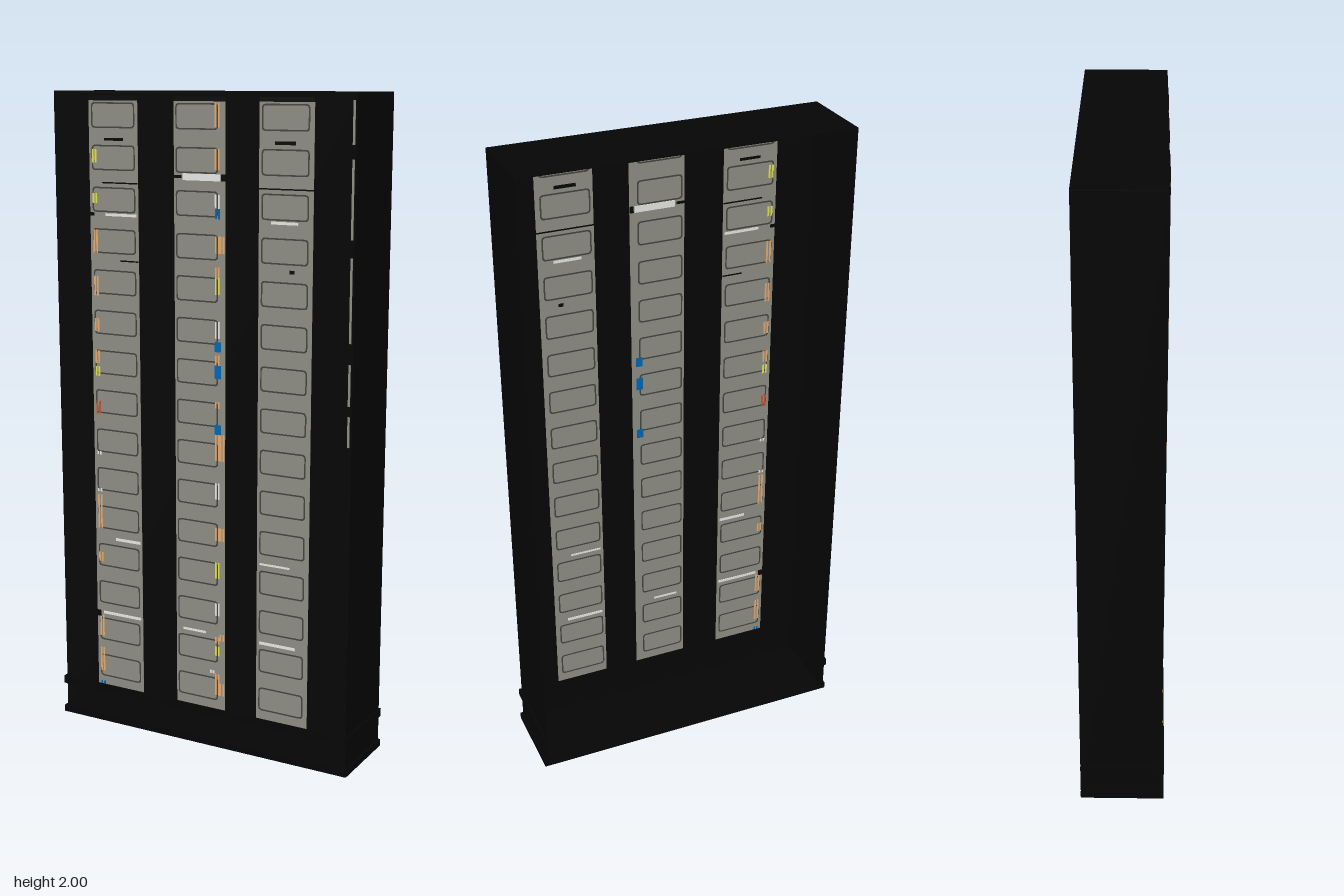
import * as THREE from 'three';

const mat = (name, color) => new THREE.MeshStandardMaterial({ name, color });

export function createModel() {
  const black = mat('cabinetBlack', 0x050505);
  const grey = mat('panelGrey', 0x8e8e85);
  const line = mat('seamGrey', 0x45453f);
  const white = mat('labelWhite', 0xf0f0ec);
  const orange = mat('cableOrange', 0xf2b272);
  const yellow = mat('cableYellow', 0xe4e44a);
  const blue = mat('cableBlue', 0x0068b4);
  const red = mat('cableRed', 0xc85430);

  const model = new THREE.Group();
  model.name = 'equipmentCabinet';
  const BACK = -0.128, FRONT = 0.122, MID = (BACK + FRONT) / 2, T = 0.004;

  const box = (name, m, w, h, d, x, y, z, parent = model) => {
    const mesh = new THREE.Mesh(new THREE.BoxGeometry(w, h, d), m);
    mesh.name = name;
    mesh.position.set(x, y, z);
    parent.add(mesh);
  };

  // Thin shell, open at the back
  box('frontSheet', black, 1, 2, T, 0, 1, FRONT - T / 2);
  box('top', black, 1, T, FRONT - BACK, 0, 2 - T / 2, MID);
  box('floor', black, 1, T, FRONT - BACK, 0, T / 2, MID);
  for (const s of [-1, 1]) {
    box(s > 0 ? 'leftWall' : 'rightWall', black, T, 2, FRONT - BACK, s * (0.5 - T / 2), 1, MID);
  }

  // Plinth trims wrap the front and both sides
  for (const [y, h] of [[0.011, 0.022], [0.112, 0.025]]) {
    box('frontTrim', black, 1.014, h, 0.008, 0, y, 0.126);
    for (const s of [-1, 1]) box('sideTrim', black, 0.008, h, 0.256, s * 0.503, y, 0);
  }

  // Plates pass through the front sheet so both faces show them
  const Z = FRONT - T / 2;
  const plate = (name, m, x0, x1, y0, y1, depth, parent, z = Z) =>
    box(name, m, x1 - x0, y1 - y0, depth, (x0 + x1) / 2, (y0 + y1) / 2, z, parent);

  const roundedPath = (path, w, h, r) => {
    path.moveTo(-w / 2 + r, -h / 2);
    path.lineTo(w / 2 - r, -h / 2);
    path.quadraticCurveTo(w / 2, -h / 2, w / 2, -h / 2 + r);
    path.lineTo(w / 2, h / 2 - r);
    path.quadraticCurveTo(w / 2, h / 2, w / 2 - r, h / 2);
    path.lineTo(-w / 2 + r, h / 2);
    path.quadraticCurveTo(-w / 2, h / 2, -w / 2, h / 2 - r);
    path.lineTo(-w / 2, -h / 2 + r);
    path.quadraticCurveTo(-w / 2, -h / 2, -w / 2 + r, -h / 2);
    return path;
  };

  // Three columns of fifteen rounded module outlines
  const columns = [
    { x0: -0.375, x1: -0.204, r0: -0.366, r1: -0.214 },
    { x0: -0.08, x1: 0.091, r0: -0.074, r1: 0.067 },
    { x0: 0.2, x1: 0.372, r0: 0.208, r1: 0.358 },
  ];
  for (const c of columns) {
    const group = new THREE.Group();
    group.name = 'moduleColumn';
    model.add(group);
    plate('columnPanel', grey, c.x0, c.x1, 0.124, 1.985, 0.0065, group);
    const w = c.r1 - c.r0, h = 0.075, t = 0.0045;
    const shape = roundedPath(new THREE.Shape(), w, h, 0.012);
    shape.holes.push(roundedPath(new THREE.Path(), w - 2 * t, h - 2 * t, 0.009));
    const geo = new THREE.ExtrudeGeometry(shape, { depth: 0.0075, bevelEnabled: false, curveSegments: 4 });
    geo.translate(0, 0, -0.00375);
    for (let i = 0; i < 15; i++) {
      const outline = new THREE.Mesh(geo, line);
      outline.name = 'moduleOutline';
      outline.position.set((c.r0 + c.r1) / 2, 0.19 + i * 0.1243, Z);
      group.add(outline);
    }
    plate('topSeam', black, c.x0, c.x1, 1.973, 1.986, 0.008, group);
  }

  // Bundles of thin upright cables: [bottom, top] ranges
  const bundles = (name, m, x, ranges, z = Z, depth = 0.0085) => {
    for (const [y0, y1] of ranges) {
      for (const dx of [-0.006, 0.004]) plate(name, m, x + dx - 0.003, x + dx + 0.003, y0, y1, depth, model, z);
    }
  };
  const XA = -0.356;
  bundles('orangeCables', orange, XA, [[1.52, 1.59], [1.39, 1.45], [1.28, 1.32], [1.18, 1.22],
    [0.65, 0.76], [0.54, 0.57], [0.29, 0.36], [0.17, 0.25]]);
  bundles('yellowCables', yellow, XA, [[1.79, 1.83], [1.67, 1.7], [1.14, 1.17]]);
  bundles('redCables', red, XA, [[1.02, 1.06]]);
  bundles('whiteCables', white, XA, [[0.89, 0.9], [0.77, 0.78]]);
  bundles('blueCables', blue, XA, [[0.125, 0.135]]);

  // Middle column cables lie on the front face only
  const XB = 0.066, ZB = Z + 0.003;
  const front = (name, m, x, ranges) => bundles(name, m, x, ranges, ZB, 0.003);
  front('orangeCables', orange, XB, [[1.9, 1.97], [1.78, 1.84], [1.54, 1.59], [1.47, 1.5],
    [1.21, 1.24], [1.08, 1.1], [0.92, 1.0], [0.67, 0.71], [0.34, 0.36], [0.17, 0.24]]);
  front('orangeCables', orange, XB + 0.016, [[1.54, 1.59], [0.92, 1.0], [0.67, 0.71], [0.35, 0.37], [0.17, 0.21]]);
  front('whiteCables', white, XB, [[1.67, 1.71], [1.29, 1.34], [0.8, 0.85], [0.43, 0.47]]);
  front('whiteCables', white, XB - 0.018, [[0.24, 0.25]]);
  front('yellowCables', yellow, XB, [[1.42, 1.47], [0.55, 0.6], [0.3, 0.33]]);
  front('blueCables', blue, XB, [[1.64, 1.67]]);
  for (const [y0, y1] of [[1.25, 1.28], [1.17, 1.21], [1.0, 1.03]]) {
    plate('bluePlug', blue, 0.056, 0.077, y0, y1, 0.0085);
  }

  // Horizontal label strips and vent slots: [x0, x1, y, height]
  const strips = (name, m, list) => {
    for (const [x0, x1, y, h] of list) plate(name, m, x0, x1, y - h / 2, y + h / 2, 0.009);
  };
  strips('labelStrip', white, [[-0.32, -0.21, 1.637, 0.008], [-0.05, 0.075, 1.758, 0.02],
    [0.24, 0.325, 1.637, 0.008], [-0.3, -0.21, 0.62, 0.009], [0.21, 0.31, 0.62, 0.006],
    [-0.35, -0.21, 0.37, 0.009], [-0.055, 0.025, 0.37, 0.007], [0.21, 0.33, 0.37, 0.009]]);
  strips('ventSlot', black, [[-0.33, -0.205, 1.732, 0.004], [0.2, 0.373, 1.732, 0.004],
    [-0.32, -0.255, 1.86, 0.008], [0.25, 0.315, 1.86, 0.01], [-0.27, -0.205, 1.5, 0.004],
    [0.3, 0.315, 1.5, 0.01], [-0.376, -0.36, 1.637, 0.01], [-0.376, -0.36, 0.365, 0.02],
    [-0.08, -0.055, 1.758, 0.008], [0.078, 0.091, 1.758, 0.02]]);

  // Narrow broken pale strip at the left edge
  for (const [y0, y1] of [[1.01, 1.1], [1.13, 1.25], [1.31, 1.55], [1.6, 1.82], [1.86, 1.98]]) {
    plate('edgeStrip', grey, 0.487, 0.494, y0, y1, 0.0065);
  }
  return model;
}
